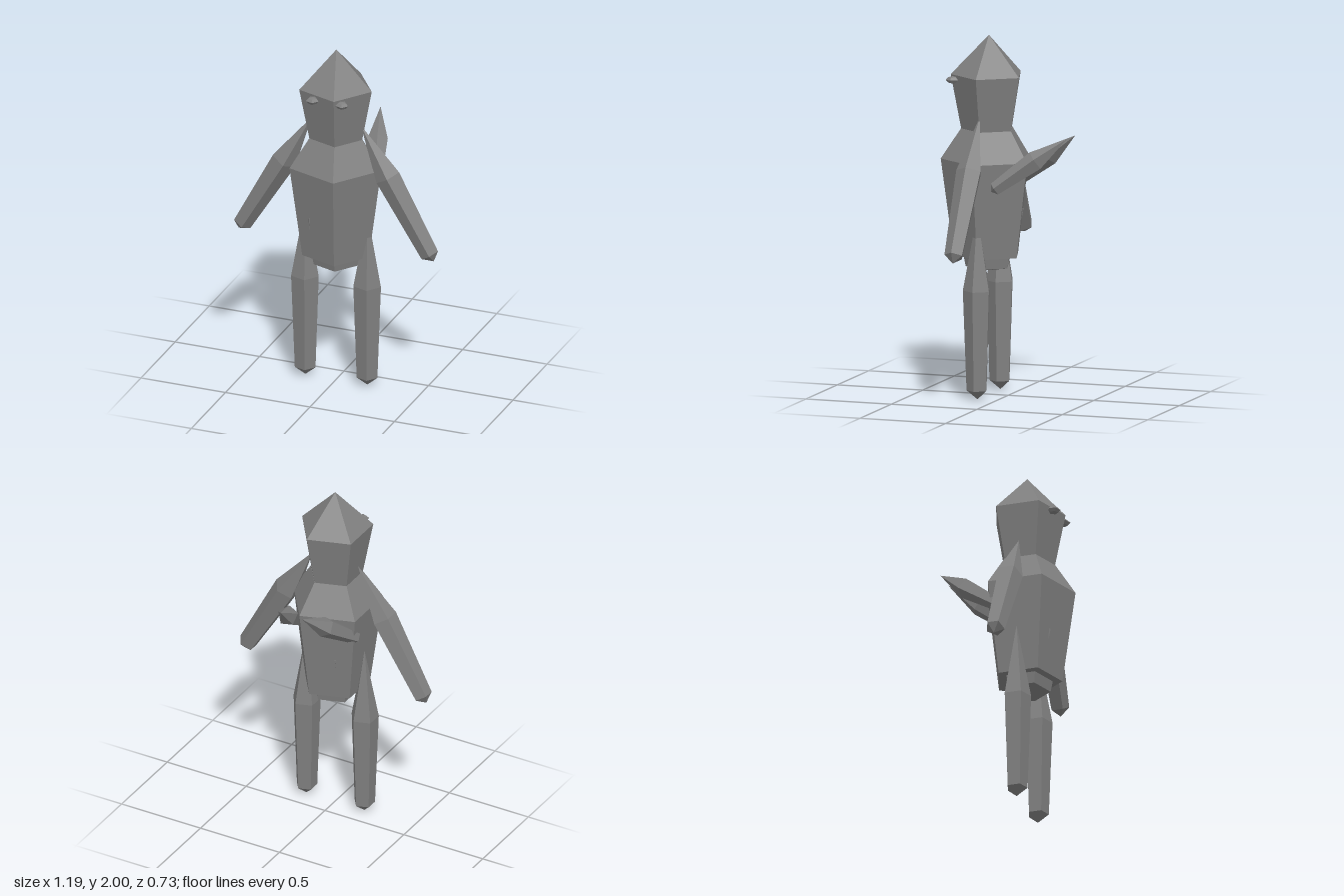
import * as THREE from 'three';

const SIDES = 5;
const AXIS_Z = 0.113;

export function createModel() {
  const model = new THREE.Group();
  const grey = new THREE.MeshStandardMaterial({ color: 0x808080 });
  grey.flatShading = true;

  // Five-sided turned solid with one corner towards +x; profile is [radius, y] from the bottom up
  function turned(name, profile, x = 0, y = 0, z = AXIS_Z) {
    const points = profile.map(([r, h]) => new THREE.Vector2(r, h));
    const mesh = new THREE.Mesh(new THREE.LatheGeometry(points, SIDES, Math.PI / 2), grey);
    mesh.name = name;
    mesh.position.set(x, y, z);
    model.add(mesh);
    return mesh;
  }

  // Limb: sharp at the start, widest part-way along, blunt point at the end
  function limb(name, start, end, wide, wideRadius, blunt, bluntRadius) {
    const a = new THREE.Vector3(...start);
    const axis = a.clone().sub(new THREE.Vector3(...end));
    const length = axis.length();
    const mesh = turned(name, [[0, -length], [bluntRadius, -blunt], [wideRadius, -wide], [0, 0]], a.x, a.y, a.z);
    mesh.quaternion.setFromUnitVectors(new THREE.Vector3(0, 1, 0), axis.normalize());
  }

  // Head, torso and hips
  turned('head', [[0, 1.475], [0.152, 1.475], [0.21, 1.78], [0, 2]]);
  turned('torso', [[0, 0.775], [0.193, 0.775], [0.265, 1.31], [0.154, 1.478], [0, 1.478]]);
  turned('hips', [[0, 0.69], [0.128, 0.712], [0.14, 0.775], [0, 0.8]]);

  // Paired limbs and wings
  for (const s of [1, -1]) {
    const side = s > 0 ? 'left' : 'right';
    limb(side + 'Arm', [s * 0.145, 1.565, AXIS_Z], [s * 0.577, 0.817, AXIS_Z], 0.325, 0.074, 0.82, 0.054);
    limb(side + 'Leg', [s * 0.185, 1.035, AXIS_Z], [s * 0.183, 0, AXIS_Z], 0.43, 0.08, 0.985, 0.06);
    limb(side + 'Wing', [s * 0.068, 1.457, -0.367], [s * 0.19, 1.16, 0.03], 0.21, 0.058, 0.485, 0.038);
  }

  // Eyes
  const eye = [[0, -0.022], [0.024, -0.016], [0.037, 0], [0.024, 0.014], [0, 0.02]];
  turned('rightEye', eye, -0.07, 1.756, 0.29);
  turned('leftEye', eye, 0.104, 1.756, 0.288);

  // Thin slivers on the torso's front and back faces
  for (const s of [1, -1]) {
    const sliver = new THREE.Mesh(new THREE.ConeGeometry(0.009, 0.12, 4), grey);
    sliver.name = s > 0 ? 'frontSliver' : 'backSliver';
    sliver.position.set(-0.095, 0.97, AXIS_Z + s * 0.152);
    sliver.rotation.set(Math.PI + s * 0.11, 0, 0);
    model.add(sliver);
  }
  return model;
}
